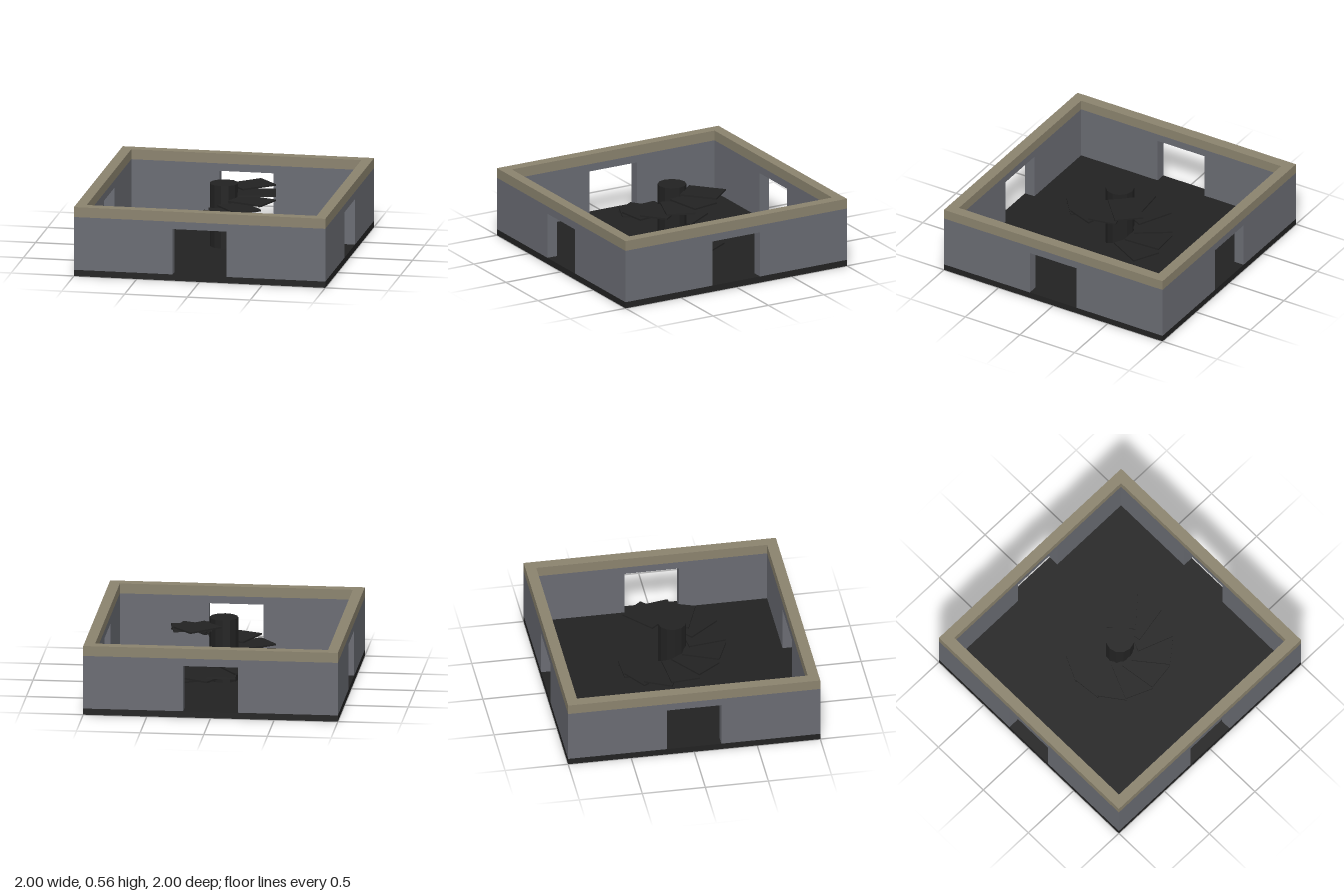
import * as THREE from 'three';

const mat = (name, color) => {
  const m = new THREE.MeshStandardMaterial({ color });
  m.name = name;
  return m;
};

export function createModel() {
  const dark = mat('dark stone', 0x222222);
  const grey = mat('grey wall', 0x6a6c73);
  const tan = mat('tan trim', 0x8b836e);
  const model = new THREE.Group();
  model.name = 'towerFloor';

  const add = (name, geometry, material, parent = model) => {
    const mesh = new THREE.Mesh(geometry, material);
    mesh.name = name;
    parent.add(mesh);
    return mesh;
  };

  const floorTop = 0.05, wallTop = 0.475, top = 0.555;
  const inner = 0.915, thickness = 1 - inner;

  // Floor slab
  add('floor', new THREE.BoxGeometry(2, floorTop, 2).translate(0, floorTop / 2, 0), dark);

  // Four walls in a pinwheel, each with a central doorway open to the floor
  const door = 0.215, doorTop = 0.415;
  const outline = new THREE.Shape([
    [-1, floorTop], [-door, floorTop], [-door, doorTop], [door, doorTop],
    [door, floorTop], [inner, floorTop], [inner, wallTop], [-1, wallTop],
  ].map(([x, y]) => new THREE.Vector2(x, y)));
  const wallGeo = new THREE.ExtrudeGeometry(outline, { depth: thickness, bevelEnabled: false })
    .translate(0, 0, inner);
  ['frontWall', 'leftWall', 'backWall', 'rightWall'].forEach((name, i) => {
    add(name, wallGeo, grey).rotation.y = i * Math.PI / 2;
  });

  // Square coping around the top of the walls
  const square = (Path, s) => new Path([[-s, -s], [s, -s], [s, s], [-s, s]]
    .map(([x, y]) => new THREE.Vector2(x, y)));
  const ring = square(THREE.Shape, 1);
  ring.holes.push(square(THREE.Path, inner));
  const ringGeo = new THREE.ExtrudeGeometry(ring, { depth: top - wallTop, bevelEnabled: false })
    .rotateX(-Math.PI / 2).translate(0, wallTop, 0);
  add('wallTrim', ringGeo, tan);

  // Spiral staircase: faceted column with box treads winding upwards
  const stair = new THREE.Group();
  stair.name = 'spiralStair';
  model.add(stair);
  const columnHeight = 0.553 - floorTop;
  const columnGeo = new THREE.CylinderGeometry(0.113, 0.113, columnHeight, 12)
    .toNonIndexed().translate(0, floorTop + columnHeight / 2, 0);
  columnGeo.computeVertexNormals();
  add('column', columnGeo, dark, stair);

  const treadGeo = new THREE.BoxGeometry(0.3, 0.013, 0.228).translate(0.255, 0, 0);
  for (let i = 0; i < 14; i++) {
    const tread = add('tread', treadGeo, dark, stair);
    tread.position.y = 0.06 + i * 0.0345;
    tread.rotation.y = THREE.MathUtils.degToRad(i * 30.9);
  }
  return model;
}
